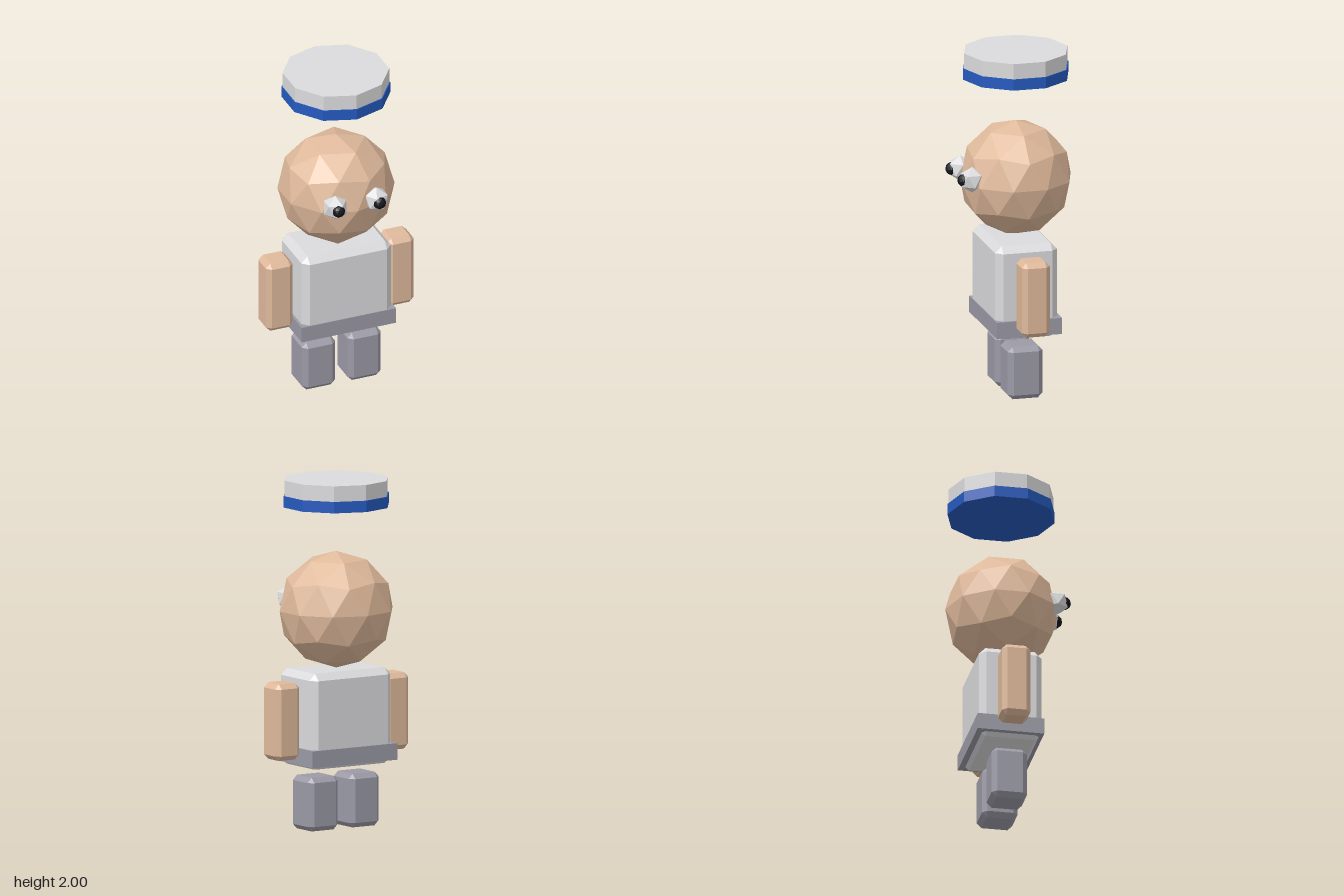
import * as THREE from 'three';
import { ConvexGeometry } from 'three/addons/geometries/ConvexGeometry.js';

const paint = (name, color) => new THREE.MeshStandardMaterial({ name, color, flatShading: true });

// Box with every edge cut by a single flat chamfer
function chamferBox(w, h, d, c) {
  const points = [];
  for (const sx of [-1, 1]) for (const sy of [-1, 1]) for (const sz of [-1, 1]) {
    for (let axis = 0; axis < 3; axis++) {
      const half = [w / 2, h / 2, d / 2].map((v, i) => (i === axis ? v : v - c));
      points.push(new THREE.Vector3(sx * half[0], sy * half[1], sz * half[2]));
    }
  }
  return new ConvexGeometry(points);
}

// Icosphere turned so that one corner points straight up
function icoBall(radius, detail) {
  const golden = (1 + Math.sqrt(5)) / 2;
  return new THREE.IcosahedronGeometry(radius, detail).rotateZ(-Math.atan(1 / golden));
}

export function createModel() {
  const model = new THREE.Group();
  model.name = 'figure';

  const skin = paint('skin', 0xdfb99b);
  const white = paint('paleGrey', 0xdbdbdd);
  const grey = paint('grey', 0x9b9aa6);
  const blue = paint('blue', 0x255abf);
  const black = paint('black', 0x15151c);

  const add = (name, geometry, material, x, y, z) => {
    const mesh = new THREE.Mesh(geometry, material);
    mesh.name = name;
    mesh.position.set(x, y, z);
    model.add(mesh);
    return mesh;
  };

  // Floating ten-sided hat
  add('hatCrown', new THREE.CylinderGeometry(0.304, 0.304, 0.09, 10), white, 0, 1.955, -0.025);
  add('hatBand', new THREE.CylinderGeometry(0.31, 0.31, 0.065, 10), blue, 0, 1.878, -0.025);

  // Head
  add('head', icoBall(0.335, 1), skin, 0, 1.25, -0.024).scale.z = 0.968;

  // Torso and belt
  add('torso', chamferBox(0.55, 0.55, 0.364, 0.038), white, 0, 0.64, -0.019);
  add('belt', new THREE.BoxGeometry(0.58, 0.095, 0.385), grey, 0, 0.433, -0.025);

  // Paired parts
  for (const [side, s] of [['left', 1], ['right', -1]]) {
    add(side + 'Eye', icoBall(0.075, 0), white, s * 0.126, 1.289, 0.268).rotation.y = s > 0 ? Math.PI : 0;
    add(side + 'Pupil', icoBall(0.038, 1), black, s * 0.126, 1.289, 0.316);
    add(side + 'Arm', chamferBox(0.165, 0.44, 0.165, 0.028), skin, s * 0.372, 0.64, -0.023);
    add(side + 'Leg', chamferBox(0.205, 0.308, 0.205, 0.028), grey, s * 0.14, 0.154, -0.02);
  }

  return model;
}
